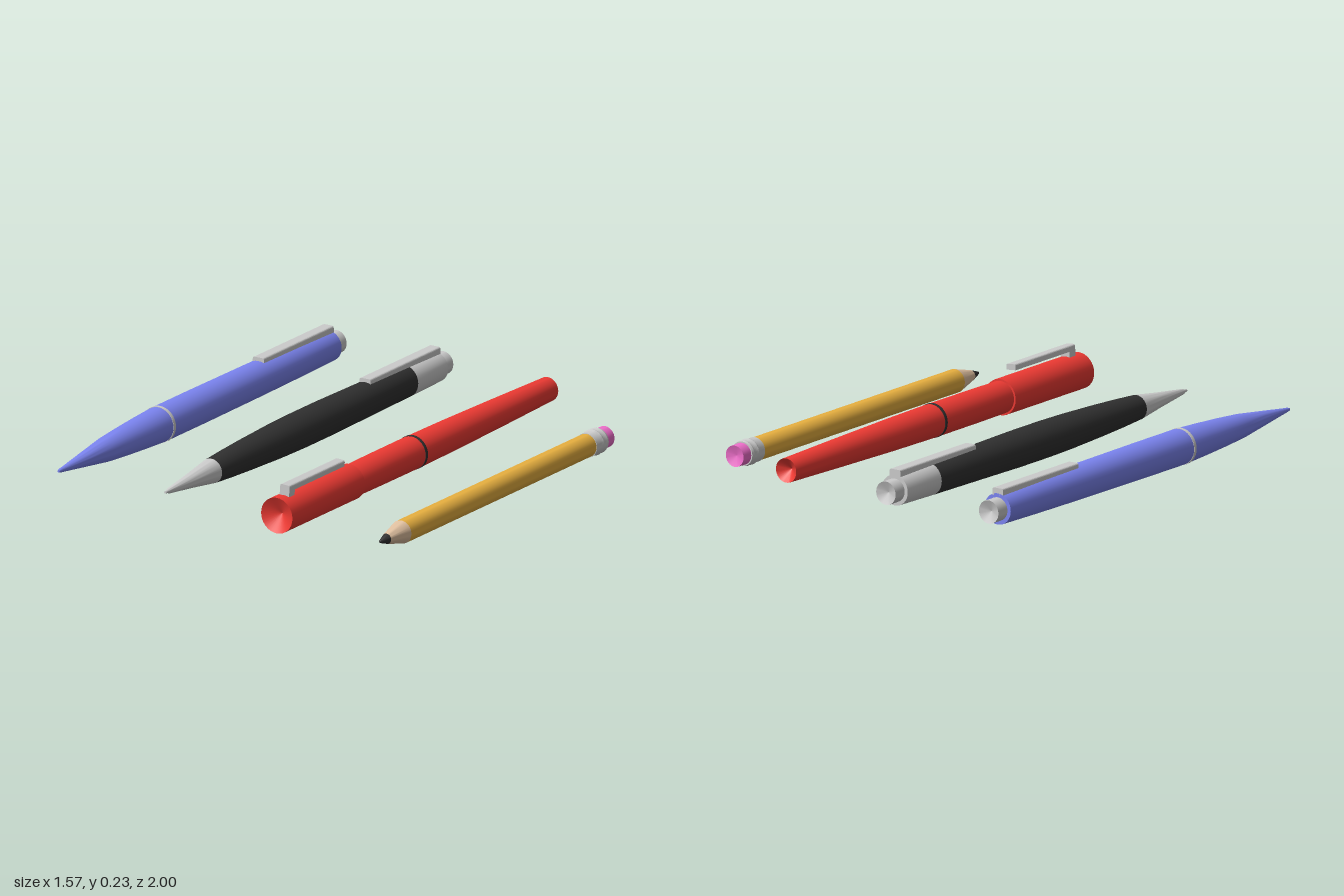
import * as THREE from 'three';
import { toCreasedNormals } from 'three/addons/utils/BufferGeometryUtils.js';

const paint = (color) => new THREE.MeshStandardMaterial({ color });
const grey = paint(0xcccccc);
const blue = paint(0x7b84f0);
const black = paint(0x303030);
const red = paint(0xee3a33);
const yellow = paint(0xe8b040);
const wood = paint(0xe0c0a0);
const pink = paint(0xf070cc);

// Turned part lying along z; the profile is [z, radius] from back to front
function turned(name, profile, material, parent) {
  const points = profile.map(([z, r]) => new THREE.Vector2(r, z));
  const geometry = new THREE.LatheGeometry(points, 32).rotateX(Math.PI / 2);
  const mesh = new THREE.Mesh(toCreasedNormals(geometry, 0.5), material);
  mesh.name = name;
  parent.add(mesh);
}

// Strip with rounded upper corners, from z0 to z1
function strip(name, width, y0, y1, z0, z1, parent) {
  const w = width / 2, c = 0.009;
  const s = new THREE.Shape();
  s.moveTo(-w, y0);
  s.lineTo(w, y0);
  s.lineTo(w, y1 - c);
  s.quadraticCurveTo(w, y1, w - c, y1);
  s.lineTo(-w + c, y1);
  s.quadraticCurveTo(-w, y1, -w, y1 - c);
  s.closePath();
  const geometry = new THREE.ExtrudeGeometry(s, { depth: z1 - z0, bevelEnabled: false, curveSegments: 4 });
  const mesh = new THREE.Mesh(geometry.translate(0, 0, z0), grey);
  mesh.name = name;
  parent.add(mesh);
}

function item(name, x, y, parent) {
  const group = new THREE.Group();
  group.name = name;
  group.position.set(x, y, 0);
  parent.add(group);
  return group;
}

// Push button and clip shared by the two ballpoints
function pushEnd(pen) {
  turned('pushButton', [[-0.98, 0], [-1, 0.047], [-0.93, 0.047]], grey, pen);
  strip('clip', 0.052, 0.052, 0.084, -0.94, -0.44, pen);
}

export function createModel() {
  const model = new THREE.Group();
  model.name = 'writingSet';

  // Blue ballpoint
  const bluePen = item('bluePen', -0.716, 0.111, model);
  turned('barrel', [[-0.94, 0], [-0.94, 0.063], [-0.7, 0.067], [-0.4, 0.07], [0, 0.072], [0.27, 0.072],
    [0.4, 0.066], [0.54, 0.058], [0.66, 0.049], [0.8, 0.031], [0.97, 0.009], [0.97, 0]], blue, bluePen);
  turned('ring', [[0.262, 0.07], [0.262, 0.0735], [0.277, 0.0735], [0.277, 0.07]], grey, bluePen);
  turned('point', [[0.95, 0.009], [0.975, 0.009], [0.99, 0.005], [0.99, 0]], blue, bluePen);
  pushEnd(bluePen);

  // Black ballpoint
  const blackPen = item('blackPen', -0.219, 0.111, model);
  turned('rearSleeve', [[-0.94, 0], [-0.94, 0.062], [-0.72, 0.066]], grey, blackPen);
  turned('barrel', [[-0.72, 0.066], [-0.4, 0.07], [-0.15, 0.0735], [0.05, 0.0735], [0.2, 0.071],
    [0.4, 0.064], [0.55, 0.057], [0.66, 0.05]], black, blackPen);
  turned('tipCone', [[0.66, 0.05], [0.8, 0.031], [0.965, 0.011], [0.975, 0.007], [0.99, 0.005], [0.99, 0]], grey, blackPen);
  pushEnd(blackPen);

  // Red capped pen with recessed ends
  const redPen = item('redPen', 0.307, 0.11, model);
  turned('barrel', [[-0.9, 0], [-0.94, 0.049], [-0.6, 0.057], [-0.25, 0.064], [0.03, 0.067], [0.3, 0.0665],
    [0.49, 0.065]], red, redPen);
  turned('band', [[0.022, 0.066], [0.022, 0.0685], [0.037, 0.0685], [0.037, 0.066]], black, redPen);
  turned('cap', [[0.48, 0.06], [0.48, 0.073], [1, 0.073], [0.96, 0]], red, redPen);
  const capClip = item('capClip', 0, 0, redPen);
  capClip.rotation.z = -0.08;
  strip('clipArm', 0.044, 0.092, 0.116, 0.56, 0.955, capClip);
  strip('clipFoot', 0.044, 0.06, 0.106, 0.915, 0.955, capClip);

  // Pencil
  const pencil = item('pencil', 0.731, 0.053, model);
  turned('shaft', [[-0.57, 0.047], [0.76, 0.047]], yellow, pencil);
  turned('sharpenedWood', [[0.76, 0.047], [0.865, 0.021]], wood, pencil);
  turned('lead', [[0.865, 0.021], [0.91, 0.006], [0.917, 0]], black, pencil);
  turned('ferrule', [[-0.65, 0.043], [-0.65, 0.049], [-0.64, 0.052], [-0.63, 0.049], [-0.622, 0.049], [-0.61, 0.053],
    [-0.598, 0.049], [-0.565, 0.049], [-0.565, 0.046]], grey, pencil);
  turned('eraser', [[-0.685, 0], [-0.7, 0.043], [-0.645, 0.044]], pink, pencil);

  return model;
}
